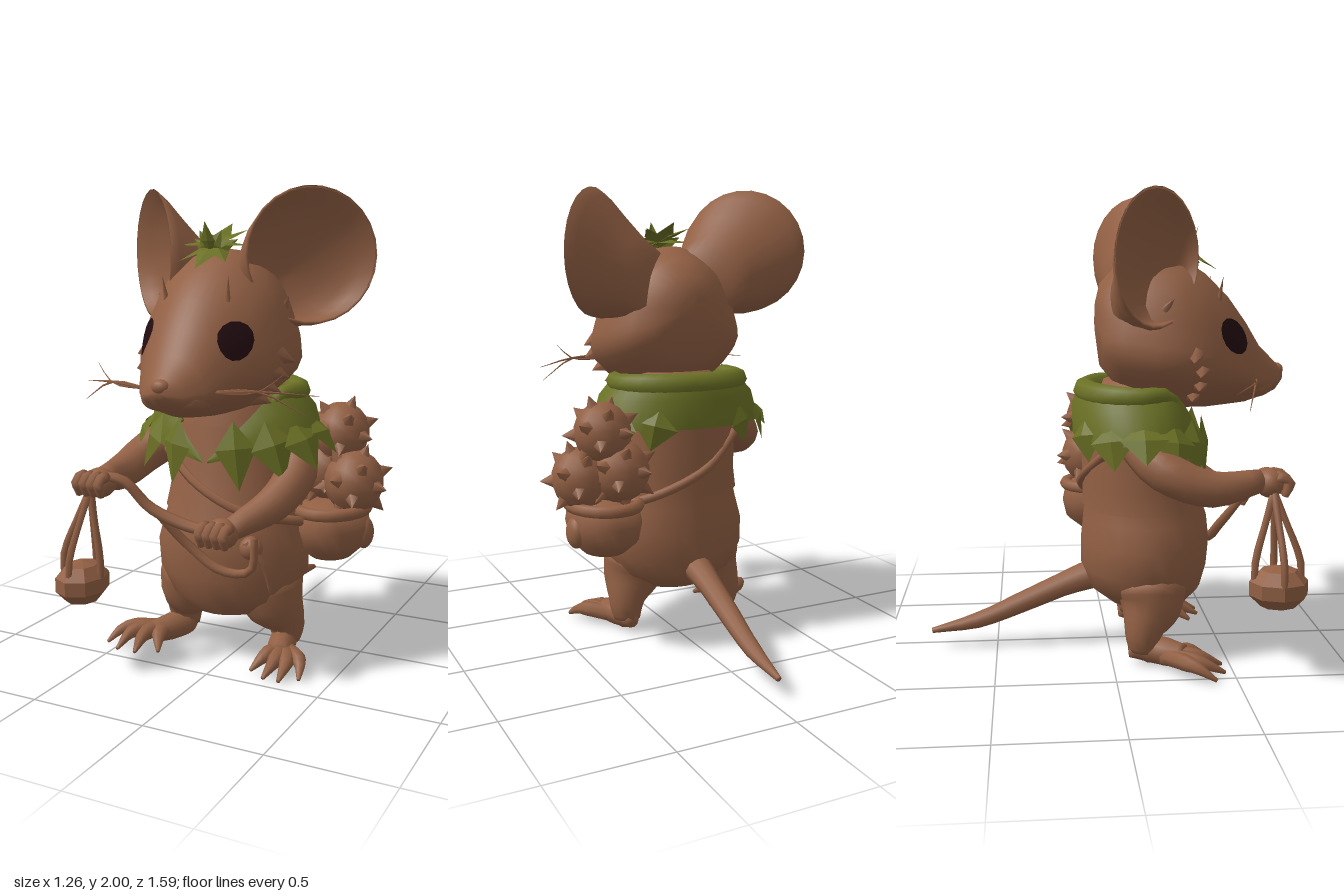
import * as THREE from 'three';

const V = (x, y, z) => new THREE.Vector3(x, y, z);
const CX = -0.05; // midline of the animal
const fur = new THREE.MeshStandardMaterial({ color: 0x926044, side: THREE.DoubleSide });
fur.name = 'brown fur';
const green = new THREE.MeshStandardMaterial({ color: 0x6b7125, side: THREE.DoubleSide });
green.name = 'leaf green';
const dark = new THREE.MeshStandardMaterial({ color: 0x220c10, side: THREE.DoubleSide });
dark.name = 'dark eye';

// head sections along z: [z, top y, bottom y, half width]
const HEAD = [
  [-0.055, 1.54, 1.4, 0.06], [-0.035, 1.62, 1.26, 0.17], [0.04, 1.7, 1.17, 0.25], [0.17, 1.75, 1.1, 0.305],
  [0.3, 1.74, 1.08, 0.315], [0.42, 1.66, 1.08, 0.27], [0.52, 1.56, 1.09, 0.21], [0.6, 1.45, 1.1, 0.17],
  [0.66, 1.35, 1.12, 0.135], [0.73, 1.28, 1.15, 0.085], [0.765, 1.25, 1.19, 0.03]];
// outline of a section: s runs from -1 at the chin to 1 at the crown, with full cheeks
const outline = s => 1 - 0.12 * s + 0.13 * Math.exp(-(((s + 0.42) / 0.32) ** 2));

// half width of the head at a given z and y
function headX(z, y) {
  let i = 0;
  while (i < HEAD.length - 2 && HEAD[i + 1][0] < z) i++;
  const a = HEAD[i], b = HEAD[i + 1], t = (z - a[0]) / (b[0] - a[0]);
  const [, top, bot, w] = a.map((v, k) => v + (b[k] - v) * t);
  const s = THREE.MathUtils.clamp((y - (top + bot) / 2) / ((top - bot) / 2), -1, 1);
  return w * Math.sqrt(1 - s * s) * outline(s);
}

// skin over a list of point rings; rings run anticlockwise about the advance
function loft(rings, closed = true, caps = true) {
  const n = rings[0].length, rows = rings.slice(), idx = [];
  const collapse = r => {
    const c = r.reduce((s, p) => s.add(p), V(0, 0, 0)).divideScalar(n);
    return r.map(() => c);
  };
  if (caps) { rows.unshift(collapse(rings[0])); rows.push(collapse(rings[rings.length - 1])); }
  for (let i = 0; i < rows.length - 1; i++) for (let j = 0; j < (closed ? n : n - 1); j++) {
    const k = (j + 1) % n, a = i * n + j, b = i * n + k;
    idx.push(a, b, a + n, b, b + n, a + n);
  }
  const g = new THREE.BufferGeometry().setFromPoints(rows.flat());
  g.setIndex(idx);
  g.computeVertexNormals();
  return g;
}
const ring = (n, f) => Array.from({ length: n }, (_, j) => f(j / n * Math.PI * 2));

// tapered tube through points, radius interpolated along the list
function limb(pts, radii, sides = 10, steps = 12) {
  const curve = new THREE.CatmullRomCurve3(pts.map(p => V(...p)));
  const { normals, binormals } = curve.computeFrenetFrames(steps);
  return loft(normals.map((N, i) => {
    const t = i / steps, f = t * (radii.length - 1), k = Math.min(Math.floor(f), radii.length - 2);
    const r = THREE.MathUtils.lerp(radii[k], radii[k + 1], f - k), p = curve.getPointAt(t);
    return ring(sides, a => p.clone().addScaledVector(N, r * Math.cos(a)).addScaledVector(binormals[i], r * Math.sin(a)));
  }));
}

// folded pointed leaf
function leaf(base, tip, w, up) {
  const side = tip.clone().sub(base).cross(up).setLength(w), mid = base.clone().lerp(tip, 0.4);
  const l = mid.clone().sub(side), r = mid.clone().add(side), rib = mid.clone().addScaledVector(up, w * 0.3);
  const g = new THREE.BufferGeometry().setFromPoints([base, r, rib, base, rib, l, rib, r, tip, rib, tip, l]);
  g.computeVertexNormals();
  return g;
}

export function createModel() {
  const model = new THREE.Group();
  const add = (name, geo, mat = fur, parent = model) => {
    const m = new THREE.Mesh(geo, mat);
    m.name = name;
    parent.add(m);
    return m;
  };
  const ball = (name, p, s, w = 14, h = 10) => {
    const m = add(name, new THREE.SphereGeometry(1, w, h));
    m.position.set(...p);
    m.scale.set(...s);
    return m;
  };
  const spike = (name, p, dir, len, r) => {
    const m = add(name, new THREE.ConeGeometry(r, len, 5));
    m.quaternion.setFromUnitVectors(V(0, 1, 0), dir.clone().normalize());
    m.position.copy(p).addScaledVector(dir.clone().normalize(), len * 0.4);
  };

  // torso and vest: [y, half width, half depth, centre z]
  const trunk = rows => rows.map(([y, rx, rz, cz]) =>
    ring(24, a => V(-0.04 + rx * Math.cos(a), y, cz - rz * Math.sin(a))));
  add('torso', loft(trunk([[0.18, 0.08, 0.09, 0.19], [0.21, 0.18, 0.18, 0.18], [0.28, 0.28, 0.25, 0.165],
    [0.38, 0.335, 0.28, 0.16], [0.5, 0.34, 0.285, 0.165], [0.6, 0.31, 0.275, 0.165], [0.7, 0.28, 0.25, 0.15],
    [0.85, 0.27, 0.235, 0.13], [1.0, 0.26, 0.22, 0.12], [1.1, 0.21, 0.19, 0.13], [1.2, 0.17, 0.16, 0.14]])));
  add('vest', loft(trunk([[0.65, 0.306, 0.27, 0.155], [0.74, 0.29, 0.257, 0.145], [0.85, 0.285, 0.246, 0.13],
    [1.02, 0.265, 0.226, 0.12]]), true, false));

  // head and nose
  add('head', loft(HEAD.map(([z, top, bot, w]) => ring(36, a =>
    V(CX + w * Math.cos(a) * outline(Math.sin(a)), (top + bot) / 2 + (top - bot) / 2 * Math.sin(a), z)))));
  ball('nose', [CX, 1.24, 0.745], [0.04, 0.03, 0.03]);

  for (const s of [-1, 1]) {
    const X = d => CX + s * d;
    ball('muzzle side', [X(0.065), 1.185, 0.62], [0.085, 0.06, 0.1]);

    // dished ear: broad root in the crown, outer shell, rim, then inner bowl
    const C = V(X(0.375), 1.725, 0.17), A = V(X(0.1), 1.57, 0.1);
    add('ear', loft([[0, 0.55], [0.3, 0.64], [0.6, 0.8], [0.85, 0.95], [1, 1], [1, 0.96], [0.85, 0.87], [0.7, 0.72],
      [0.56, 0.45], [0.5, 0.1]].map(([t, k]) => ring(26, a => A.clone().lerp(C, t).add(
      V(-s * 0.207 * k * Math.cos(a), -s * 0.278 * k * Math.sin(a), 0.195 * k * Math.cos(a)))))));
    spike('ear tuft', V(X(0.26), 1.5, 0.2), V(s * 0.5, 0.7, 0.5), 0.1, 0.03);

    // eye patch wrapped on the head
    const eye = new THREE.RingGeometry(0.001, 1, 14, 4), p = eye.attributes.position;
    for (let i = 0; i < p.count; i++) {
      const y = 1.402 + p.getY(i) * 0.075, z = 0.51 + p.getX(i) * 0.06 - (y - 1.402) * 0.3;
      p.setXYZ(i, X(headX(z, y) + 0.007), y, z + 0.004);
    }
    eye.computeVertexNormals();
    add('eye', eye, dark);

    // cheek and brow tufts, whiskers
    for (const [y, z] of [[1.33, 0.33], [1.27, 0.36], [1.21, 0.36], [1.16, 0.34]])
      spike('cheek tuft', V(X(headX(z, y) - 0.025), y, z), V(s, -0.35, -0.2), 0.08, 0.045);
    spike('brow tuft', V(X(0.14), 1.56, 0.46), V(s * 0.1, 1, 0.15), 0.1, 0.012);
    for (const [x, y, z] of [[0.53, 1.2, 0.46], [0.5, 1.13, 0.52], [0.42, 1.29, 0.54]])
      add('whisker', limb([[X(0.12), 1.21, 0.63], [X(0.33), 1.22, 0.58], [X(x), y, z]], [0.005, 0.005, 0.001], 4, 6));

    // leg, foot and clawed toes
    const fx = s < 0 ? -0.3 : 0.2, toe = s < 0 ? [-0.55, -0.47, -0.38, -0.29] : [0.16, 0.24, 0.31, 0.38];
    add('leg', limb([[X(0.16), 0.39, 0.17], [X(0.205), 0.25, 0.17], [fx, 0.14, 0.135], [fx, 0.055, 0.13]],
      [0.12, 0.155, 0.13, 0.085, 0.06], 14, 16));
    const mid = (toe[1] + toe[2]) / 2;
    add('foot', limb([[fx, 0.055, 0.07], [fx, 0.06, 0.16], [fx * 0.4 + mid * 0.6, 0.05, 0.3]], [0.03, 0.06, 0.06, 0.05]));
    toe.forEach((x, i) => add('toe', limb([[fx * 0.6 + mid * 0.4, 0.045, 0.22],
      [x * 0.7 + mid * 0.3, 0.055, 0.33 + 0.02 * (i % 3 > 0)], [x, 0.012, i % 3 ? 0.46 : 0.41]], [0.04, 0.036, 0.008], 7, 8)));
  }

  // tail
  add('tail', limb([[-0.055, 0.34, -0.02], [-0.055, 0.29, -0.17], [-0.055, 0.21, -0.36], [-0.052, 0.12, -0.58], [-0.05, 0.075, -0.79]],
    [0.07, 0.052, 0.045, 0.035, 0.012]));

  // arms and hands
  const arms = [
    [[[-0.28, 0.97, 0.1], [-0.43, 0.87, 0.2], [-0.465, 0.8, 0.38], [-0.42, 0.82, 0.6]], [-0.41, 0.81, 0.64]],
    [[[0.18, 0.97, 0.1], [0.28, 0.86, 0.2], [0.265, 0.75, 0.36], [0.15, 0.66, 0.55]], [0.12, 0.645, 0.58]]];
  for (const [path, h] of arms) {
    add('arm', limb(path, [0.09, 0.088, 0.075, 0.048], 12));
    ball('hand', h, [0.07, 0.062, 0.062]);
    for (let i = 0; i < 4; i++) {
      const x = h[0] - 0.055 + i * 0.035;
      add('finger', limb([[x, h[1] + 0.035, h[2] + 0.02], [x - 0.01, h[1] + 0.02, h[2] + 0.07],
        [x - 0.01, h[1] - 0.045, h[2] + 0.05]], [0.022, 0.022, 0.014], 6, 6));
    }
  }

  // leaf cape with V neck, rolled collar and pointed tips
  const front = t => Math.PI - Math.abs(t - Math.PI);
  const inner = t => 1.18 - 0.3 * Math.max(0, 1 - front(t) / 1.05);
  const around = (t, y, rx, rz) => V(CX + rx * Math.sin(t), y, 0.125 + rz * Math.cos(t));
  const arc = (a, n, f) => Array.from({ length: n }, (_, i) => f(a + i / (n - 1) * 2 * (Math.PI - a)));
  const edge = t => 0.97 - 0.09 * Math.max(0, 1 - front(t) / 1.2);
  add('cape', loft([
    arc(0.03, 41, t => around(t, Math.min(edge(t), inner(t) - 0.01), 0.4, 0.28)),
    arc(0.03, 41, t => around(t, inner(t) * 0.6 + edge(t) * 0.4, 0.36, 0.285)),
    arc(0.03, 41, t => around(t, inner(t), 0.28, 0.245 + 0.03 * Math.max(0, Math.cos(t))))], false, false), green);
  add('collar', limb(arc(0.6, 11, t => around(t, inner(t) - 0.025, 0.29, 0.222).toArray()),
    [0.01, 0.04, 0.052, 0.055, 0.052, 0.04, 0.01], 8, 28), green);
  // leaf tips: [angle from front, tip y, half width, side reach, depth reach]
  for (const [f, y, w, rx, rz] of [[0.36, 0.775, 0.085, 0.45, 0.3], [0.75, 0.82, 0.095, 0.49, 0.3], [1.15, 0.86, 0.1, 0.48, 0.3],
    [1.6, 0.91, 0.1, 0.47, 0.29], [2.05, 0.87, 0.1, 0.43, 0.28], [2.55, 0.88, 0.1, 0.42, 0.27]])
    for (const t of [f, 2 * Math.PI - f])
      add('cape leaf', leaf(around(t, 1.06, 0.35, 0.285), around(t, y, rx, rz), w,
        V(Math.sin(t), 0.2, Math.cos(t)).normalize()), green);

  // leaf sprig on the crown
  for (let i = 0; i < 8; i++) {
    const a = i / 8 * Math.PI * 2, l = i % 2 ? 0.15 : 0.165;
    const d = V(Math.sin(a), 0, Math.cos(a)), c = V(CX, 1.765, 0.31);
    const tip = c.clone().addScaledVector(d, l).add(V(0, -0.09 * Math.cos(a), 0));
    add('crown leaf', leaf(c, tip, 0.045, V(0, 1, 0)), green);
  }
  for (const x of [-0.1, -0.05, 0, 0.05, 0.1])
    add('upright leaf', leaf(V(CX, 1.73, 0.34), V(CX + x, 1.86 - Math.abs(x) * 0.7, 0.39 - Math.abs(x)), 0.032, V(0, 0, 1)), green);

  // hip bag
  const bag = new THREE.Group();
  bag.name = 'hip bag';
  bag.position.set(0.36, 0, 0.01);
  bag.scale.set(0.9, 1, 1.08);
  model.add(bag);
  add('bag bowl', new THREE.LatheGeometry([[0, 0.42], [0.1, 0.435], [0.165, 0.49], [0.182, 0.57], [0.165, 0.66], [0, 0.67]]
    .map(p => new THREE.Vector2(...p)), 18), fur, bag);
  const rim = add('bag rim', new THREE.TorusGeometry(0.168, 0.027, 7, 20), fur, bag);
  rim.rotation.x = Math.PI / 2;
  rim.position.y = 0.65;
  ball('bag pocket', [0.5, 0.54, -0.02], [0.04, 0.07, 0.06]);

  // spiny burrs in the bag
  for (const [x, y, z, r] of [[0.38, 0.97, -0.04, 0.125], [0.46, 0.77, 0.01, 0.13], [0.31, 0.8, -0.06, 0.13]]) {
    ball('burr', [x, y, z], [r, r * 1.05, r], 12, 9);
    for (let i = 0; i < 16; i++) {
      const h = 1 - 2 * (i + 0.5) / 16, q = Math.sqrt(1 - h * h), a = i * 2.4;
      const d = V(q * Math.cos(a), h, q * Math.sin(a));
      spike('burr spine', V(x, y, z).addScaledVector(d, r * 0.92), d, 0.065, 0.036);
    }
  }

  // hanging nut basket
  const nut = ball('nut basket', [-0.49, 0.385, 0.67], [0.11, 0.095, 0.13], 8, 5);
  nut.geometry = nut.geometry.toNonIndexed();
  nut.geometry.computeVertexNormals();
  for (const [x, z] of [[-0.58, 0.67], [-0.4, 0.67], [-0.49, 0.57], [-0.49, 0.76]])
    add('basket strap', limb([[-0.45, 0.78, 0.65], [x * 0.4 - 0.273, 0.67, z * 0.4 + 0.39], [x, 0.49, z], [x, 0.39, z]],
      [0.016, 0.014, 0.016, 0.014], 6, 8));

  // cord between the hands, hanging loop, pouch and straps
  add('cord', limb([[-0.45, 0.84, 0.66], [-0.3, 0.83, 0.64], [-0.2, 0.72, 0.6], [-0.05, 0.66, 0.58], [0.12, 0.65, 0.6]],
    [0.02, 0.022, 0.026, 0.022], 7, 16));
  add('hanging loop', limb([[-0.2, 0.72, 0.59], [-0.08, 0.55, 0.5], [0.06, 0.45, 0.47], [0.18, 0.46, 0.45], [0.2, 0.6, 0.45]],
    [0.014, 0.02, 0.022, 0.018, 0.015], 7, 16));
  add('loose cord end', limb([[0.15, 0.57, 0.43], [0.22, 0.47, 0.4], [0.23, 0.35, 0.36]], [0.014, 0.014, 0.008], 6, 8));
  ball('belt pouch', [0.16, 0.54, 0.4], [0.05, 0.05, 0.045]);
  add('chest strap', limb([[-0.3, 0.9, 0.28], [-0.1, 0.78, 0.385], [0.12, 0.68, 0.38], [0.3, 0.62, 0.2]], [0.02, 0.02], 6, 14));
  add('back strap', limb([[-0.28, 0.92, -0.02], [-0.08, 0.78, -0.115], [0.12, 0.69, -0.1], [0.3, 0.63, -0.02]], [0.02, 0.02], 6, 14));
  return model;
}
